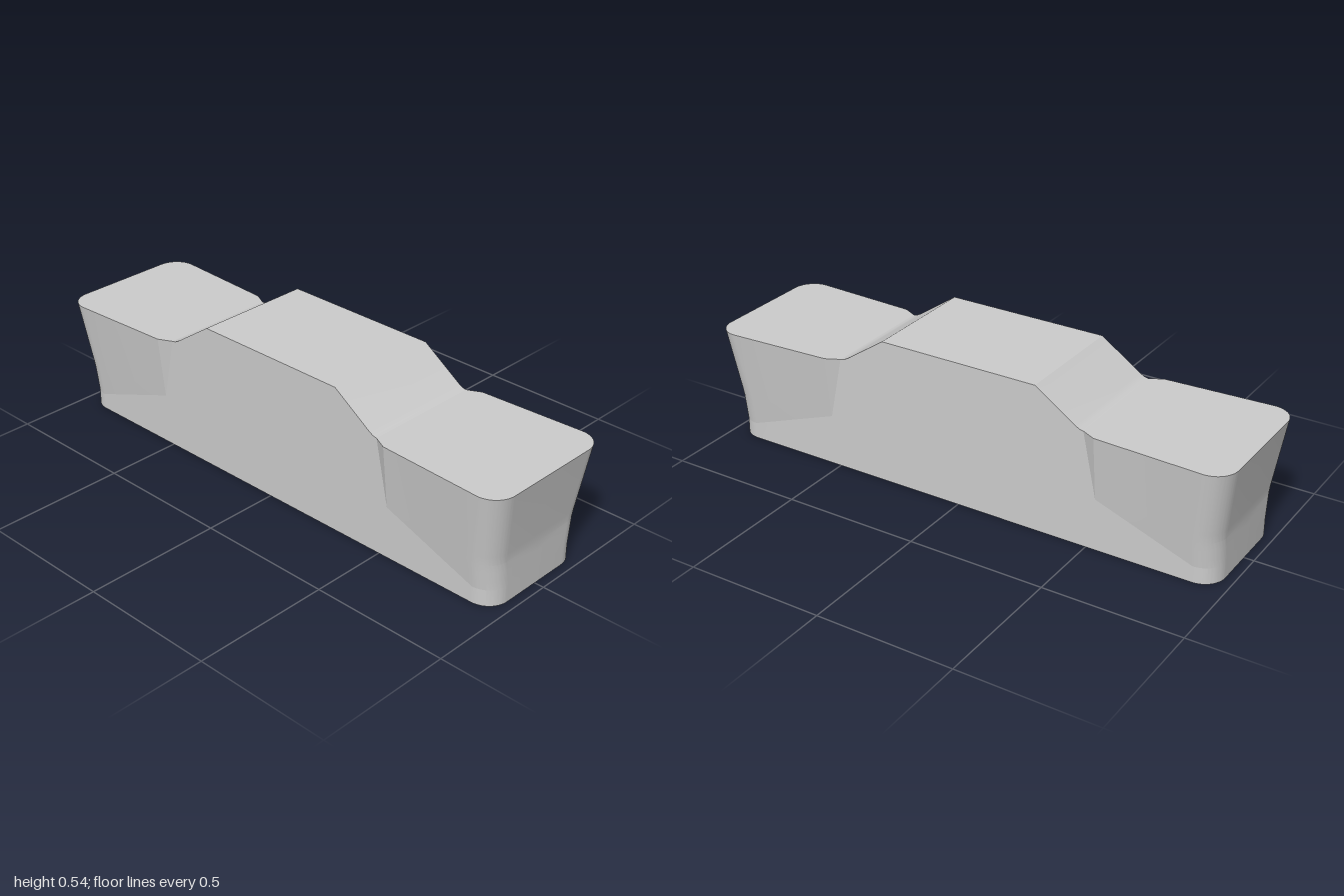
import * as THREE from 'three';
import { toCreasedNormals } from 'three/addons/utils/BufferGeometryUtils.js';

const HALF = 0.22, DECK = 0.425, RADIUS = 0.08, NECK = 0.53, FLARE_Y = 0.19;
const LEVELS = [0, 0.06, 0.0925, 0.125, 0.1575, FLARE_Y, DECK];

// A quarter of the hull outline at height y, from mid-side round to mid-end, as [x, z]
function quarter(y) {
  const t = Math.max(0, (y - FLARE_Y) / (DECK - FLARE_Y));
  const end = y < 0.16 ? 0.965 : 0.968 + 0.032 * t;
  const neckW = HALF + 0.025 * t;
  const pts = [[HALF, 0], [HALF, NECK - 0.05 * t]];
  let w = neckW;
  for (let i = 0; i <= 4; i++) {
    const s = i / 4;
    // the flare starts lower towards the end
    const start = FLARE_Y - 0.13 * s;
    const top = 0.025 + 0.02 * s;
    w = HALF + top * Math.max(0, (y - start) / (DECK - start));
    pts.push([w, NECK + s * (end - RADIUS - NECK)]);
  }
  for (let i = 1; i <= 20; i++) {
    const a = (i / 20) * Math.PI / 2;
    pts.push([w - RADIUS + RADIUS * Math.cos(a), end - RADIUS + RADIUS * Math.sin(a)]);
  }
  pts.push([0, end]);
  return pts;
}

// Grid of points from rows, skipping cells that have no area
function gridGeometry(rows, crease, flip = false) {
  const n = rows[0].length, index = [];
  const pos = rows.flat();
  const tri = (a, b, c) => {
    const [A, B, C] = [a, b, c].map((k) => new THREE.Vector3(...pos[k]));
    if (new THREE.Triangle(A, B, C).getArea() < 1e-8) return;
    index.push(...(flip ? [a, c, b] : [a, b, c]));
  };
  for (let j = 0; j < rows.length - 1; j++) {
    for (let i = 0; i < n - 1; i++) {
      const a = j * n + i, b = a + 1, c = a + n, d = c + 1;
      tri(a, c, b);
      tri(b, c, d);
    }
  }
  const g = new THREE.BufferGeometry();
  g.setAttribute('position', new THREE.Float32BufferAttribute(pos.flat(), 3));
  g.setIndex(index);
  return toCreasedNormals(g, crease);
}

const flat = (pts) => new THREE.ShapeGeometry(new THREE.Shape(pts.map((p) => new THREE.Vector2(...p))));
const mirrorX = (pts) => [...pts, ...pts.slice(0, -1).reverse().map(([x, z]) => [-x, z])];

export function createModel() {
  const group = new THREE.Group();
  const material = new THREE.MeshStandardMaterial({ color: 0xcccccc });
  const add = (geometry, name) => {
    const mesh = new THREE.Mesh(geometry, material);
    mesh.name = name;
    group.add(mesh);
  };

  for (const sz of [1, -1]) {
    const end = sz > 0 ? 'front' : 'back';
    // Hull walls, one quarter on each side
    for (const sx of [1, -1]) {
      const rows = LEVELS.map((y) => quarter(y).map(([x, z]) => [sx * x, y, sz * z]));
      add(gridGeometry(rows, 0.1, sx * sz < 0), end + (sx > 0 ? 'LeftWall' : 'RightWall'));
    }
    // Flat deck on each flared end
    const deck = mirrorX(quarter(DECK).slice(1)).map(([x, z]) => [x, -sz * z]);
    add(flat(deck).rotateX(-Math.PI / 2).translate(0, DECK, 0), end + 'Deck');
  }

  // Underside
  const half = mirrorX(quarter(0).slice(1));
  const base = [...half, ...half.map(([x, z]) => [x, -z]).reverse()];
  add(flat(base).rotateX(Math.PI / 2), 'underside');

  // Raised middle with sloped ends, profile as [z, y]
  const rise = [[0.48, DECK], [0.465, 0.428], [0.45, 0.436], [0.3, 0.538]];
  const profile = [...rise, ...rise.map(([z, y]) => [-z, y]).reverse()];
  const ribbon = profile.map(([z, y]) => [[-HALF, y, z], [HALF, y, z]]);
  add(gridGeometry(ribbon, 0.35, true), 'raisedTop');
  for (const s of [1, -1]) {
    add(flat(profile).rotateY(s * Math.PI / 2).translate(s * HALF, 0, 0), s > 0 ? 'raisedLeftSide' : 'raisedRightSide');
  }
  return group;
}
